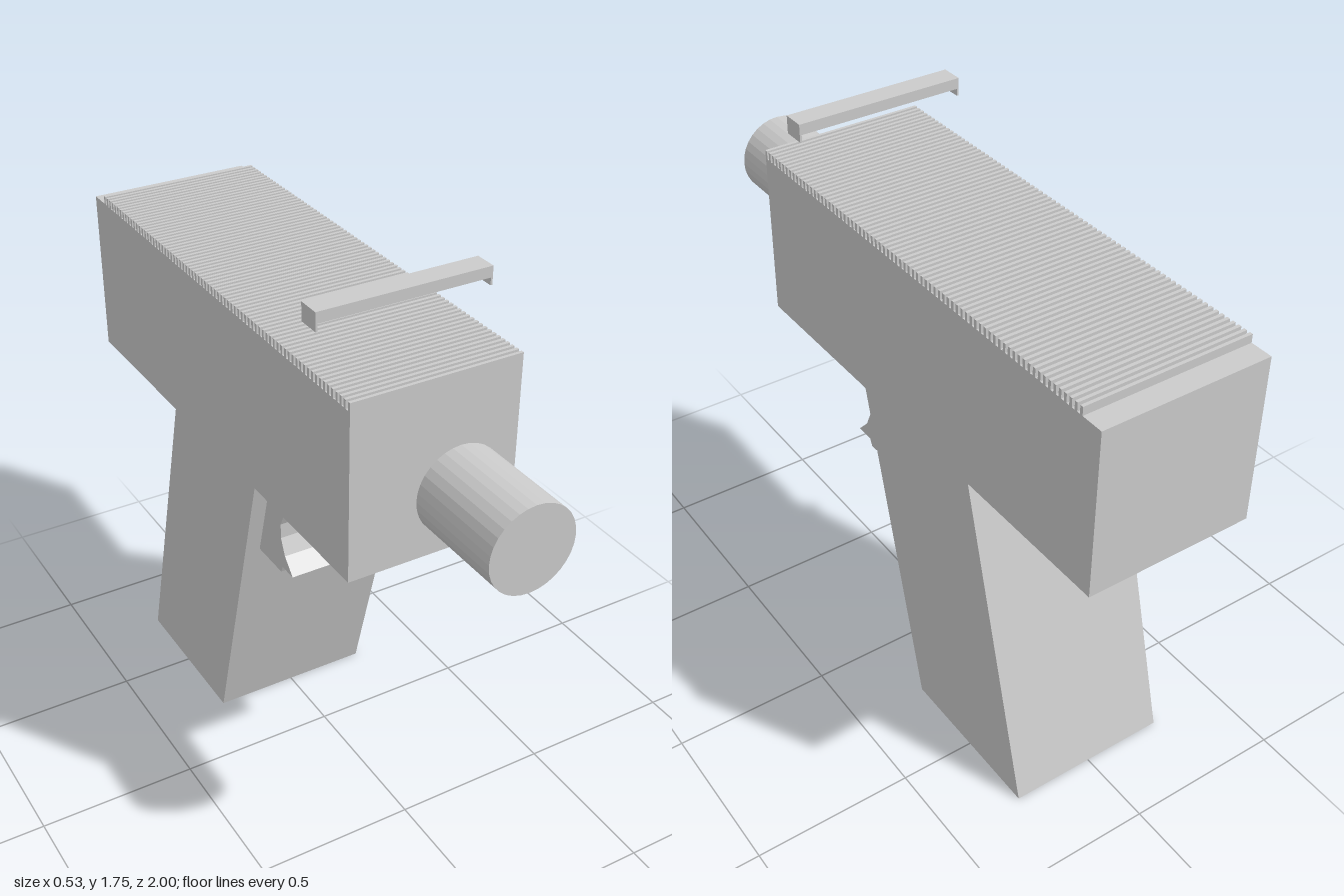
import * as THREE from 'three';

const material = new THREE.MeshStandardMaterial({ color: 0xcccccc, flatShading: true });

function add(group, name, geometry, x = 0, y = 0, z = 0) {
  const mesh = new THREE.Mesh(geometry, material);
  mesh.name = name;
  mesh.position.set(x, y, z);
  group.add(mesh);
  return mesh;
}

// Side profile given as [z, y] points, extruded across x and centred
function sideProfile(points, width) {
  const shape = new THREE.Shape(points.map(([z, y]) => new THREE.Vector2(z, y)));
  const geometry = new THREE.ExtrudeGeometry(shape, { depth: width, bevelEnabled: false });
  return geometry.translate(0, 0, -width / 2).rotateY(-Math.PI / 2);
}

export function createModel() {
  const model = new THREE.Group();
  model.name = 'toyBlaster';
  const width = 0.524;

  // Body and slanted grip in one piece
  add(model, 'bodyAndGrip', sideProfile([
    [-0.23, 0], [0.05, 1.03], [0.575, 1.03], [0.575, 1.55],
    [-1, 1.55], [-1, 1.03], [-0.475, 1.03], [-0.755, 0],
  ], width));

  // Trigger with a concave front and a small lip
  add(model, 'trigger', sideProfile([
    [0.18, 1.03], [0.135, 0.973], [0.112, 0.923], [0.112, 0.875], [0.135, 0.823],
    [0.18, 0.775], [0.12, 0.775], [0.11, 0.752], [-0.03, 0.752], [0.04, 1.03],
  ], 0.424));

  // Fine cross ridges along the top
  const ridges = new THREE.Group();
  ridges.name = 'topRidges';
  const count = 75, front = 0.57, back = -0.925;
  const ridge = new THREE.BoxGeometry(width, 0.028, 0.01);
  for (let i = 0; i < count; i++) {
    add(ridges, 'ridge', ridge, 0, 1.562, front + (back - front) * i / (count - 1));
  }
  model.add(ridges);

  // Separate barrel cylinder in front of the body
  const barrel = new THREE.CylinderGeometry(0.13, 0.13, 0.315, 32).rotateX(Math.PI / 2);
  add(model, 'barrel', barrel, 0, 1.305, 0.8425);

  // Floating sight bar with a thin lip turned down at each end
  const sight = new THREE.Group();
  sight.name = 'sight';
  add(sight, 'sightBar', new THREE.BoxGeometry(0.534, 0.033, 0.07), 0, 1.738, 0.38);
  for (const side of [-1, 1]) {
    add(sight, 'sightLip', new THREE.BoxGeometry(0.006, 0.055, 0.07), side * 0.264, 1.727, 0.38);
  }
  model.add(sight);

  return model;
}
